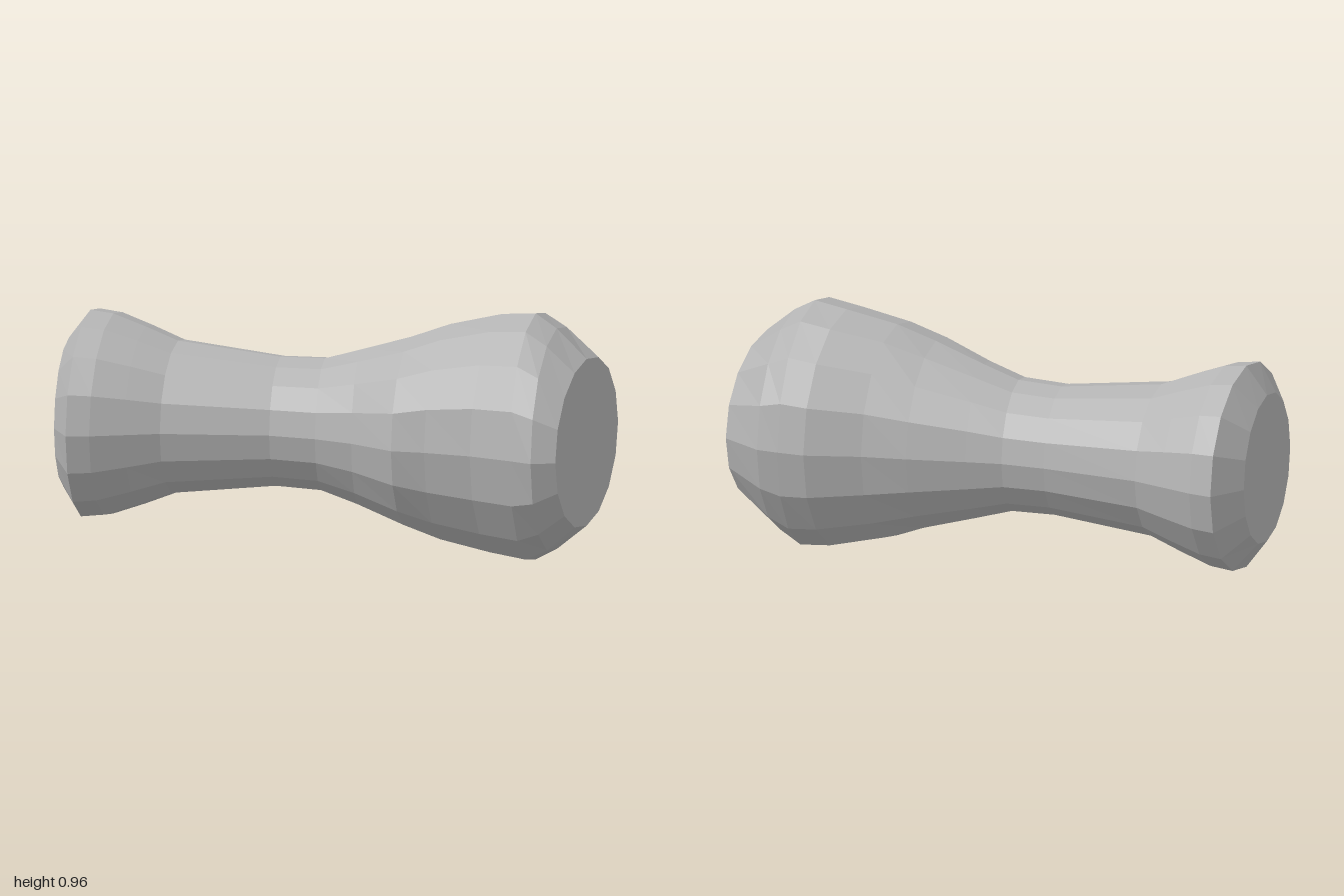
import * as THREE from 'three';

const SIDES = 16;
const CENTRE_Y = 0.48;

// Cross-sections from back to front:
// right-edge x, z, left-edge x, z, half height
const SECTIONS = [
  [-0.62, -0.90, -0.98, -0.43, 0.29],
  [-0.47, -0.94, -1.00, -0.29, 0.40],
  [-0.41, -0.87, -0.92, -0.25, 0.39],
  [-0.34, -0.76, -0.79, -0.21, 0.345],
  [-0.27, -0.65, -0.66, -0.17, 0.295],
  [0.00, -0.38, -0.30, 0.04, 0.25],
  [0.13, -0.27, -0.17, 0.17, 0.255],
  [0.25, -0.20, -0.08, 0.30, 0.30],
  [0.45, -0.09, 0.00, 0.48, 0.365],
  [0.60, 0.00, 0.10, 0.56, 0.42],
  [0.80, 0.09, 0.23, 0.69, 0.465],
  [0.88, 0.16, 0.33, 0.83, 0.48],
  [0.94, 0.22, 0.38, 0.91, 0.43],
  [1.00, 0.40, 0.47, 0.94, 0.325],
];

// One elliptical ring spanning the two edge points
function ring([ax, az, bx, bz, ry]) {
  const cx = (ax + bx) / 2, cz = (az + bz) / 2;
  return Array.from({ length: SIDES }, (_, k) => {
    const t = (k / SIDES) * Math.PI * 2;
    return [
      cx + (ax - cx) * Math.cos(t),
      CENTRE_Y + ry * Math.sin(t),
      cz + (az - cz) * Math.cos(t),
    ];
  });
}

function toMesh(name, triangles, material) {
  const geometry = new THREE.BufferGeometry();
  geometry.setAttribute('position', new THREE.Float32BufferAttribute(triangles.flat(), 3));
  geometry.computeVertexNormals();
  const mesh = new THREE.Mesh(geometry, material);
  mesh.name = name;
  return mesh;
}

// Flat disc closing one end
function endCap(name, points, front, material) {
  const triangles = [];
  for (let k = 1; k < SIDES - 1; k++) {
    if (front) triangles.push(points[0], points[k], points[k + 1]);
    else triangles.push(points[0], points[k + 1], points[k]);
  }
  return toMesh(name, triangles, material);
}

export function createModel() {
  const model = new THREE.Group();
  model.name = 'waistedShaft';
  const grey = new THREE.MeshStandardMaterial({ color: 0xb4b4b4 });
  grey.name = 'grey';
  grey.flatShading = true;

  const rings = SECTIONS.map(ring);

  // Waisted body lofted through the rings
  const triangles = [];
  for (let s = 0; s < rings.length - 1; s++) {
    for (let k = 0; k < SIDES; k++) {
      const n = (k + 1) % SIDES;
      const a = rings[s][k], b = rings[s][n], c = rings[s + 1][n], d = rings[s + 1][k];
      triangles.push(a, b, c, a, c, d);
    }
  }
  model.add(toMesh('body', triangles, grey));

  // Flat ends
  model.add(endCap('backEnd', rings[0], false, grey));
  model.add(endCap('frontEnd', rings[rings.length - 1], true, grey));
  return model;
}
